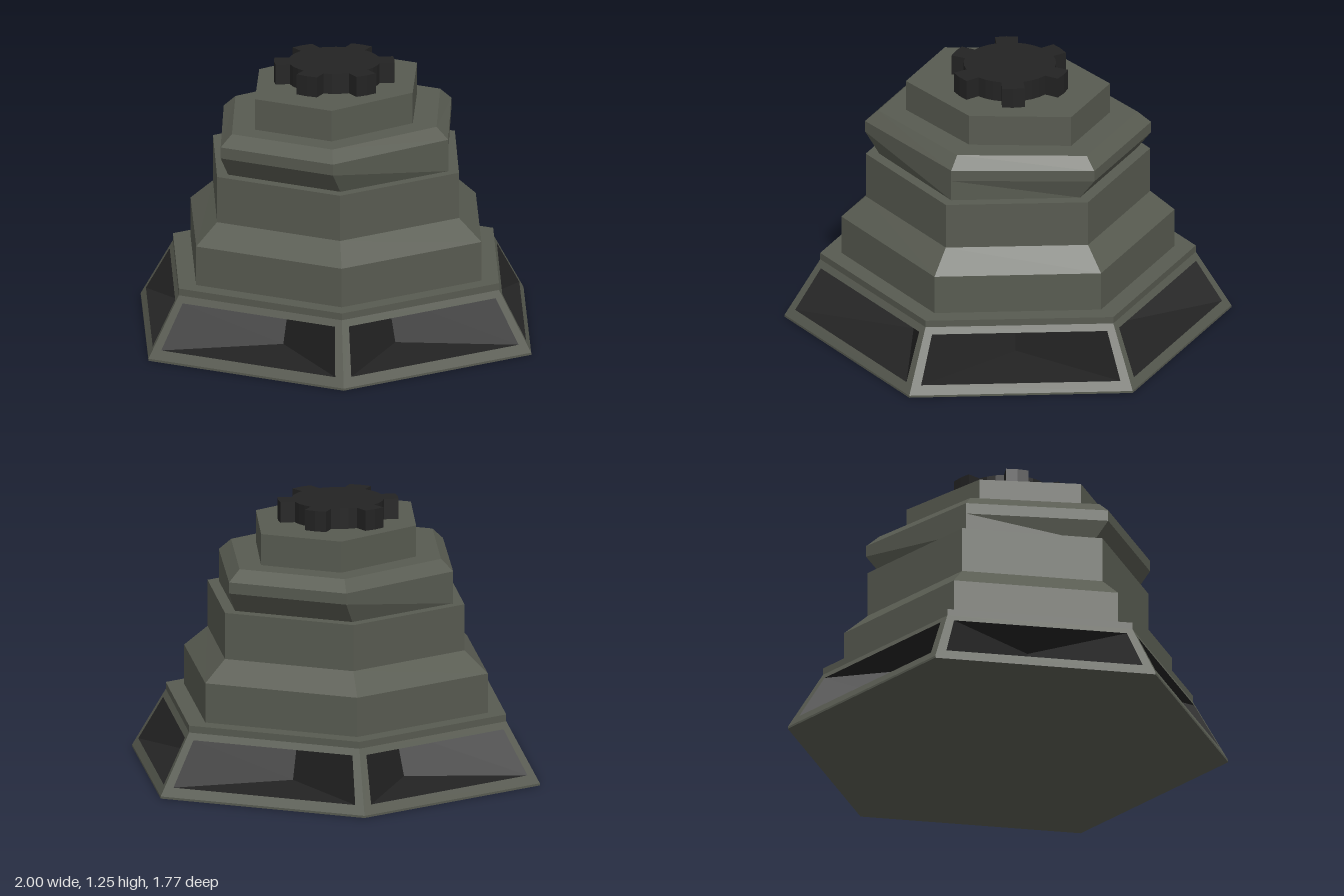
import * as THREE from 'three';

const hull = new THREE.MeshStandardMaterial({ color: 0x585b51 });
hull.name = 'greenGrey';
const dark = new THREE.MeshStandardMaterial({ color: 0x232323 });
dark.name = 'charcoal';

// Six corners of a hexagonal level: half width, half depth, height
const hexagon = ([w, d, y]) => [[w, 0], [w / 2, d], [-w / 2, d], [-w, 0], [-w / 2, -d], [w / 2, -d]]
  .map(([x, z]) => new THREE.Vector3(x, y, z));

const tri = (out, a, b, c) => out.push(a, b, c);
// a, b run along the bottom edge and c, d back along the top edge
const quad = (out, a, b, c, d) => { tri(out, a, d, c); tri(out, a, c, b); };

function addMesh(group, name, points, material) {
  const geometry = new THREE.BufferGeometry().setFromPoints(points);
  geometry.computeVertexNormals();
  const mesh = new THREE.Mesh(geometry, material);
  mesh.name = name;
  group.add(mesh);
}

// Flat-sided stack of hexagonal levels with optional caps
function loft(levels, capBottom, capTop) {
  const out = [], rings = levels.map(hexagon);
  const first = rings[0], last = rings[rings.length - 1];
  const bottom = new THREE.Vector3(0, levels[0][2], 0);
  const top = new THREE.Vector3(0, levels[levels.length - 1][2], 0);
  for (let i = 0; i < 6; i++) {
    const j = (i + 1) % 6;
    for (let k = 0; k + 1 < rings.length; k++) quad(out, rings[k][i], rings[k][j], rings[k + 1][j], rings[k + 1][i]);
    if (capBottom) tri(out, bottom, first[i], first[j]);
    if (capTop) tri(out, top, last[j], last[i]);
  }
  return out;
}

// Sloped skirt: six window frames, each with a V-shaped pocket behind it
function addSkirt(group) {
  const lower = hexagon([1, 0.885, 0.01]), upper = hexagon([0.835, 0.745, 0.285]);
  for (let i = 0; i < 6; i++) {
    const j = (i + 1) % 6;
    const outer = [lower[i], lower[j], upper[j], upper[i]];
    const at = (u, v) => lower[i].clone().lerp(lower[j], u)
      .lerp(upper[i].clone().lerp(upper[j], u), v);
    const win = [at(0.043, 0.15), at(0.957, 0.15), at(0.957, 0.89), at(0.043, 0.89)];
    const frame = [], pocket = [];
    for (let k = 0; k < 4; k++) {
      const n = (k + 1) % 4;
      quad(frame, outer[k], outer[n], win[n], win[k]);
    }
    // Deep line where the two pocket walls meet
    const inward = (p, s) => new THREE.Vector3(p.x * s, p.y, p.z * s);
    const low = inward(at(0.5, 0.15), 0.6), high = inward(at(0.5, 0.89), 0.6);
    quad(pocket, win[0], low, high, win[3]);
    quad(pocket, low, win[1], win[2], high);
    tri(pocket, win[0], low, win[1]);
    tri(pocket, win[3], win[2], high);
    // Floor faces up, ceiling faces down
    for (const s of [pocket.length - 6, pocket.length - 3]) {
      const [a, b, c] = pocket.slice(s, s + 3);
      const ny = b.clone().sub(a).cross(c.clone().sub(a)).y;
      if ((s === pocket.length - 6) !== (ny > 0)) { pocket[s + 1] = c; pocket[s + 2] = b; }
    }
    addMesh(group, 'windowFrame' + (i + 1), frame, hull);
    addMesh(group, 'windowPocket' + (i + 1), pocket, dark);
  }
}

// Six-toothed cog lying flat on the roof
function addCog(group) {
  const shape = new THREE.Shape();
  const r = 0.21, tip = 0.275;
  for (let i = 0; i < 6; i++) {
    const a = Math.PI / 2 + i * Math.PI / 3;
    const pts = [[r, -0.24], [tip, -0.19], [tip, 0], [tip, 0.19], [r, 0.24], [r, 0.43], [r, 0.62]];
    pts.forEach(([rad, t], k) => {
      const x = rad * Math.cos(a + t), y = rad * Math.sin(a + t);
      if (i + k === 0) shape.moveTo(x, y); else shape.lineTo(x, y);
    });
  }
  shape.closePath();
  const geometry = new THREE.ExtrudeGeometry(shape, { depth: 0.095, bevelEnabled: false });
  geometry.rotateX(-Math.PI / 2);
  const cog = new THREE.Mesh(geometry, dark);
  cog.name = 'roofCog';
  cog.position.set(-0.011, 1.16, -0.004);
  group.add(cog);
}

export function createModel() {
  const model = new THREE.Group();
  model.name = 'steppedHexagonalTower';

  addMesh(model, 'basePlate', loft([[1, 0.885, 0], [1, 0.885, 0.01]], true, false), hull);
  addSkirt(model);

  // Lip and lower tiers
  addMesh(model, 'lowerTiers', loft([
    [0.835, 0.745, 0.285], [0.835, 0.745, 0.317], [0.745, 0.66, 0.317],
    [0.745, 0.66, 0.5], [0.63, 0.565, 0.598], [0.63, 0.565, 0.813],
  ], false, true), hull);

  // Collar undercut at front and back, bevelled on top
  addMesh(model, 'collar', loft([
    [0.575, 0.51, 0.813], [0.575, 0.583, 0.91], [0.575, 0.583, 0.962], [0.515, 0.53, 1.015],
  ], false, true), hull);

  addMesh(model, 'roofBlock', loft([[0.393, 0.42, 1.015], [0.393, 0.42, 1.16]], false, true), hull);
  addCog(model);
  return model;
}
